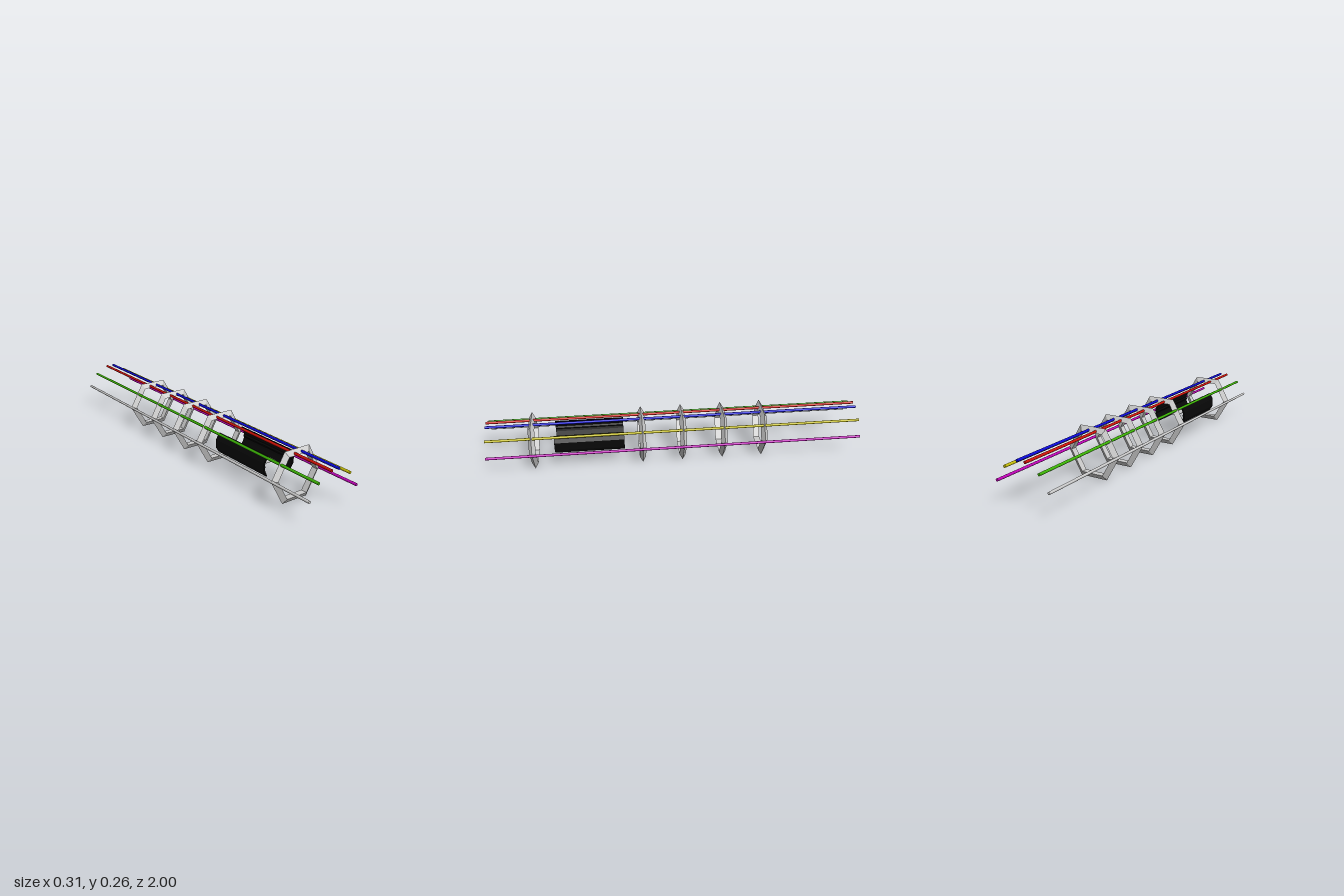
import * as THREE from 'three';

const CENTER_Y = 0.132;

export function createModel() {
  const model = new THREE.Group();
  const add = (name, geometry, color, x, y, z) => {
    const material = new THREE.MeshStandardMaterial({ color, flatShading: true });
    const mesh = new THREE.Mesh(geometry, material);
    mesh.name = name;
    mesh.position.set(x, y, z);
    model.add(mesh);
    return mesh;
  };

  // Hexagonal frames with a triangular section, ridge outward
  const ringGeometry = new THREE.TorusGeometry(0.132, 0.02, 3, 6);
  [0.76, 0.178, -0.04, -0.26, -0.478].forEach((z, i) =>
    add(`hexFrame${i + 1}`, ringGeometry, 0xcccccc, 0, CENTER_Y, z));

  // Long rods running the full length
  const rodGeometry = new THREE.CylinderGeometry(0.007, 0.007, 2, 16);
  rodGeometry.rotateX(Math.PI / 2);
  const rods = [
    ['greyRod', 0xcccccc, -0.146, 0.131],
    ['greenRod', 0x3cb404, -0.097, 0.205],
    ['redRod', 0xd01005, -0.022, 0.245],
    ['blueRod', 0x0a08d8, 0.022, 0.245],
    ['yellowRod', 0xc4bc08, 0.096, 0.205],
    ['magentaRod', 0xc003b8, 0.146, 0.131],
  ];
  for (const [name, color, x, y] of rods) {
    add(name, rodGeometry, color, x, y, 0).material.flatShading = false;
  }

  // Curved black side panels with a ridged inner face
  const panelProfile = [
    [0.0705, 0.2], [0.078, 0.198], [0.0955, 0.168], [0.0955, 0.123], [0.078, 0.097], [0.0705, 0.094],
    [0.085, 0.126], [0.089, 0.138], [0.084, 0.147], [0.089, 0.156], [0.085, 0.167],
  ];
  for (const side of [-1, 1]) {
    const shape = new THREE.Shape(panelProfile.map(([x, y]) => new THREE.Vector2(side * x, y)));
    const geometry = new THREE.ExtrudeGeometry(shape, { depth: 0.37, bevelEnabled: false });
    add(side > 0 ? 'leftPanel' : 'rightPanel', geometry, 0x080808, 0, 0, 0.275);
  }

  // Thin plates lying along the axis between the panels
  add('longPlate', new THREE.BoxGeometry(0.06, 0.002, 0.19), 0xcccccc, 0, 0.133, 0.415);
  add('shortPlate', new THREE.BoxGeometry(0.06, 0.002, 0.04), 0xcccccc, 0, 0.133, 0.57);

  return model;
}
